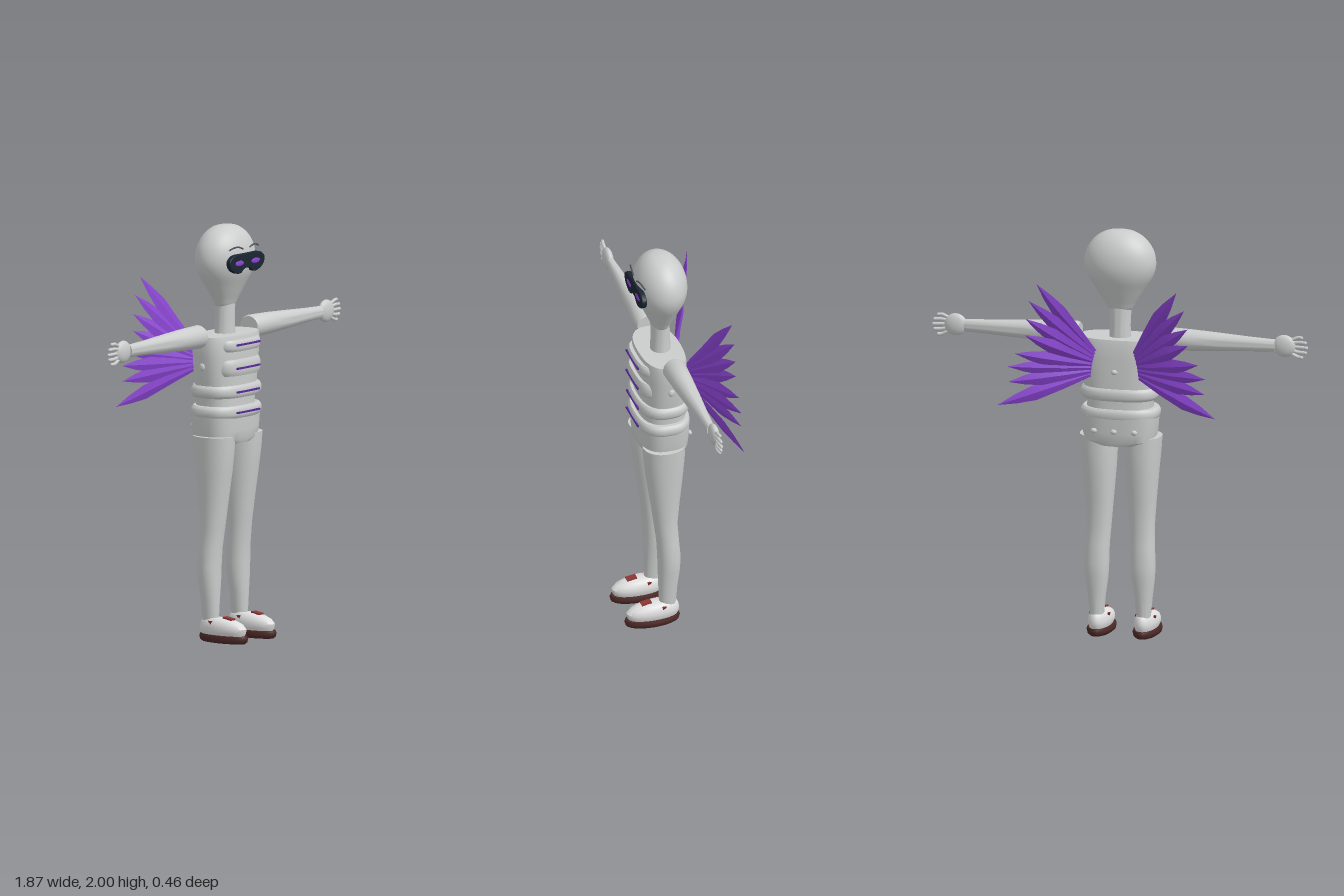
import * as THREE from 'three';
import { toCreasedNormals } from 'three/addons/utils/BufferGeometryUtils.js';

const mat = (name, color, side = THREE.FrontSide) => {
  const m = new THREE.MeshStandardMaterial({ color, side });
  m.name = name;
  return m;
};

// Closed body through cross-sections [y, cx, cz, rx, rz], listed bottom to top; n is the squareness.
function loft(sections, n = 2, seg = 40) {
  const pos = [], idx = [];
  const pw = (v) => Math.sign(v) * Math.abs(v) ** (2 / n);
  for (const [y, cx, cz, rx, rz] of sections) {
    for (let j = 0; j < seg; j++) {
      const a = (j / seg) * Math.PI * 2;
      pos.push(cx + rx * pw(Math.cos(a)), y, cz + rz * pw(Math.sin(a)));
    }
  }
  for (let i = 0; i < sections.length - 1; i++) {
    for (let j = 0; j < seg; j++) {
      const a = i * seg + j, b = i * seg + ((j + 1) % seg);
      idx.push(a, a + seg, b, b, a + seg, b + seg);
    }
  }
  const top = (sections.length - 1) * seg, c = sections.length * seg;
  for (const s of [sections[0], sections[sections.length - 1]]) pos.push(s[1], s[0], s[2]);
  for (let j = 0; j < seg; j++) {
    const k = (j + 1) % seg;
    idx.push(c, j, k, c + 1, top + k, top + j);
  }
  const g = new THREE.BufferGeometry();
  g.setAttribute('position', new THREE.Float32BufferAttribute(pos, 3));
  g.setIndex(idx);
  return toCreasedNormals(g, 0.7);
}

// Band with softly rounded upper and lower rims.
function band(y0, y1, cz, rx, rz, n) {
  const h = y1 - y0;
  return loft([[0, 0.93], [0.12, 0.97], [0.3, 1], [0.7, 1], [0.88, 0.97], [1, 0.93]]
    .map(([t, k]) => [y0 + h * t, 0, cz, rx * k, rz * k]), n);
}

// Long pointed feather with a raised ridge; profile rows are [distance, half width].
function feather(root, tip) {
  const rows = [[0, 0.012], [0.3, 0.026], [0.6, 0.036], [0.8, 0.022], [1, 0]];
  const dx = tip[0] - root[0], dy = tip[1] - root[1], l = Math.hypot(dx, dy);
  const ux = -dy / l, uy = dx / l, pos = [], idx = [];
  rows.forEach(([t, w], i) => {
    const x = root[0] + dx * t, y = root[1] + dy * t;
    const z = root[2] + (tip[2] - root[2]) * t ** 0.85;
    pos.push(x + ux * w, y + uy * w, z, x, y, z - w * 0.4, x - ux * w, y - uy * w, z, x, y, z + w * 0.25);
    if (i === 0) return;
    for (let j = 0; j < 4; j++) {
      const a = (i - 1) * 4 + j, b = (i - 1) * 4 + ((j + 1) % 4);
      idx.push(a, b, a + 4, b, b + 4, a + 4);
    }
  });
  const g = new THREE.BufferGeometry();
  g.setAttribute('position', new THREE.Float32BufferAttribute(pos, 3));
  g.setIndex(idx);
  return toCreasedNormals(g, 0.4);
}

export function createModel() {
  const model = new THREE.Group();
  const grey = mat('light grey', 0xcbcdcd);
  const white = mat('shoe white', 0xdedede);
  const purple = mat('purple', 0x8843cf, THREE.DoubleSide);
  const trim = mat('dark purple', 0x57299a);
  const navy = mat('dark navy', 0x1b2632);
  const browGrey = mat('brow grey', 0x50565a);
  const brown = mat('sole brown', 0x4d2a27);
  const red = mat('dark red', 0x8e3636);
  const add = (name, geo, m, parent = model) => {
    const mesh = new THREE.Mesh(geo, m);
    mesh.name = name;
    parent.add(mesh);
    return mesh;
  };

  // Head and neck
  const headCurve = new THREE.SplineCurve([[0.001, 1.6], [0.05, 1.605], [0.078, 1.645], [0.12, 1.71],
    [0.16, 1.775], [0.175, 1.835], [0.163, 1.9], [0.125, 1.955], [0.068, 1.99], [0, 2]]
    .map((p) => new THREE.Vector2(...p)));
  const profile = headCurve.getPoints(40);
  profile.forEach((p) => { p.x = Math.max(0, p.x); });
  add('head', new THREE.LatheGeometry(profile, 48).scale(1, 1, 0.72).translate(0, 0, 0.018), grey);
  add('neck', loft([[1.44, 0, 0.016, 0.055, 0.05], [1.53, 0, 0.016, 0.05, 0.047], [1.63, 0, 0.018, 0.055, 0.045]]), grey);

  // Mask with a nose notch
  const half = [[0.02, 1.798], [0.05, 1.779], [0.09, 1.782], [0.128, 1.805], [0.139, 1.84], [0.11, 1.865], [0.05, 1.871]];
  const outline = [...half, ...half.slice().reverse().map(([x, y]) => [-x, y])];
  const maskShape = new THREE.Shape(new THREE.CatmullRomCurve3(
    outline.map(([x, y]) => new THREE.Vector3(x, y, 0)), true).getPoints(70).slice(0, -1)
    .map((p) => new THREE.Vector2(p.x, p.y)));
  add('mask', new THREE.ExtrudeGeometry(maskShape, {
    depth: 0.014, bevelThickness: 0.006, bevelSize: 0.005, bevelOffset: -0.005, bevelSegments: 3,
  }).translate(0, 0, 0.132), navy);

  // Torso core
  add('torso', loft([[1.06, 0, 0.02, 0.165, 0.115], [1.16, 0, 0.02, 0.158, 0.11], [1.25, 0, 0.02, 0.178, 0.112],
    [1.38, 0, 0.022, 0.193, 0.113], [1.45, 0, 0.022, 0.2, 0.112], [1.476, 0, 0.022, 0.196, 0.106]], 2.6), grey);
  add('upperChestPlate', band(1.402, 1.457, 0.06, 0.148, 0.097, 3.2), grey);
  add('lowerChestPlate', band(1.285, 1.362, 0.06, 0.15, 0.097, 3.2), grey);
  add('waistRing', band(1.178, 1.237, 0.024, 0.191, 0.131, 2.6), grey);
  add('beltRing', band(1.08, 1.137, 0.024, 0.191, 0.132, 2.6), grey);
  add('hips', loft([[0.955, 0, 0.02, 0.1, 0.11], [0.975, 0, 0.02, 0.17, 0.118], [1.02, 0, 0.02, 0.18, 0.122],
    [1.1, 0, 0.02, 0.186, 0.126]], 2.8), grey);
  [[1.435, 0.157], [1.322, 0.157], [1.207, 0.155], [1.108, 0.156]].forEach(([y, z]) =>
    add('chestStripe', new THREE.BoxGeometry(0.18, 0.009, 0.008).translate(0, y, z), trim));
  // Small studs down the back
  [[0, 1.32, -0.092], [-0.1, 1.03, -0.098], [0, 1.03, -0.104], [0.1, 1.03, -0.098]].forEach(([x, y, z]) =>
    add('backStud', new THREE.SphereGeometry(0.016, 12, 8).scale(1, 0.8, 0.7).translate(x, y, z), grey));

  for (const s of [1, -1]) {
    const side = s > 0 ? 'left' : 'right';
    const part = (name, geo, m) => add(side + name, geo, m);

    // Face details
    part('Eye', new THREE.SphereGeometry(1, 20, 10).scale(0.034, 0.013, 0.004).translate(s * 0.064, 1.828, 0.152), purple);
    const brow = new THREE.QuadraticBezierCurve3(new THREE.Vector3(s * 0.025, 1.893, 0.142),
      new THREE.Vector3(s * 0.07, 1.917, 0.142), new THREE.Vector3(s * 0.117, 1.893, 0.128));
    part('Eyebrow', new THREE.TubeGeometry(brow, 12, 0.004, 6), browGrey);
    part('SideStud', new THREE.SphereGeometry(0.02, 12, 8).scale(0.5, 1, 0.8).translate(s * 0.187, 1.33, 0.02), grey);

    // Arm, palm and fingers
    const arm = loft([[0.198, 0, 0, 0.05, 0.052], [0.21, 0, 0, 0.056, 0.058], [0.35, 0, 0, 0.052, 0.05],
      [0.5, 0, 0, 0.044, 0.04], [0.65, 0, 0, 0.035, 0.028], [0.77, 0, 0, 0.03, 0.021]], 2, 28);
    part('Arm', arm.rotateZ(-s * Math.PI / 2).translate(0, 1.479, 0.013), grey);
    part('Palm', new THREE.SphereGeometry(1, 24, 16).scale(0.056, 0.054, 0.024).translate(s * 0.815, 1.48, 0.013), grey);
    for (let i = -2; i <= 2; i++) {
      const reach = 0.925 - 0.006 * i * i;
      const path = new THREE.CatmullRomCurve3([[0.84, 1.478 + i * 0.014, 0.013], [0.885, 1.477 + i * 0.024, 0.015],
        [reach, 1.476 + i * 0.024, 0.011]].map(([x, y, z]) => new THREE.Vector3(s * x, y, z)));
      part('Finger', new THREE.TubeGeometry(path, 8, 0.0085, 8), grey);
      part('Fingertip', new THREE.SphereGeometry(0.0085, 8, 6).translate(s * reach, 1.476 + i * 0.024, 0.011), grey);
    }

    // Leg
    part('Leg', loft([[0.1, 0.116, 0.018, 0.033, 0.041], [0.2, 0.116, 0.016, 0.043, 0.046],
      [0.29, 0.115, 0.011, 0.056, 0.053], [0.36, 0.115, 0.01, 0.06, 0.055], [0.45, 0.112, 0.016, 0.058, 0.054],
      [0.55, 0.107, 0.025, 0.06, 0.057], [0.68, 0.106, 0.028, 0.069, 0.072], [0.82, 0.106, 0.031, 0.08, 0.09],
      [0.92, 0.108, 0.033, 0.087, 0.1], [0.992, 0.109, 0.034, 0.091, 0.103]]
      .map(([y, x, z, rx, rz]) => [y, s * x, z, rx, rz]), 2.15, 32), grey);

    // Shoe with sole and red accents
    const cx = s * 0.114;
    part('Sole', loft([[0, cx, 0.094, 0.05, 0.122], [0.008, cx, 0.094, 0.06, 0.133],
      [0.025, cx, 0.094, 0.064, 0.138], [0.037, cx, 0.094, 0.06, 0.133]]), brown);
    part('Shoe', loft([[0.03, cx, 0.091, 0.045, 0.118], [0.05, cx, 0.091, 0.054, 0.129], [0.07, cx, 0.091, 0.056, 0.131],
      [0.09, cx, 0.084, 0.051, 0.12], [0.105, cx, 0.07, 0.042, 0.098], [0.115, cx, 0.055, 0.03, 0.07]], 2.1), white);
    part('ShoeTongue', new THREE.BoxGeometry(0.034, 0.008, 0.05).rotateX(0.15).translate(cx, 0.116, 0.125), red);
    for (const k of [1, -1]) {
      part('ShoeAccent', new THREE.ConeGeometry(0.016, 0.03, 3).rotateX(Math.PI)
        .scale(0.6, 1, 1).translate(cx + k * 0.046, 0.088, 0.05), red);
    }

    // Wing of eight fanned feathers
    const wing = new THREE.Group();
    wing.name = side + 'Wing';
    model.add(wing);
    [[0.347, 1.765], [0.386, 1.68], [0.402, 1.59], [0.405, 1.51], [0.455, 1.417], [0.49, 1.35], [0.487, 1.275],
      [0.54, 1.158]].forEach(([x, y], i) => add('feather',
      feather([s * (0.1 + i * 0.003), 1.415 - i * 0.016, -0.085], [s * x, y, -0.232]), purple, wing));
  }
  return model;
}
